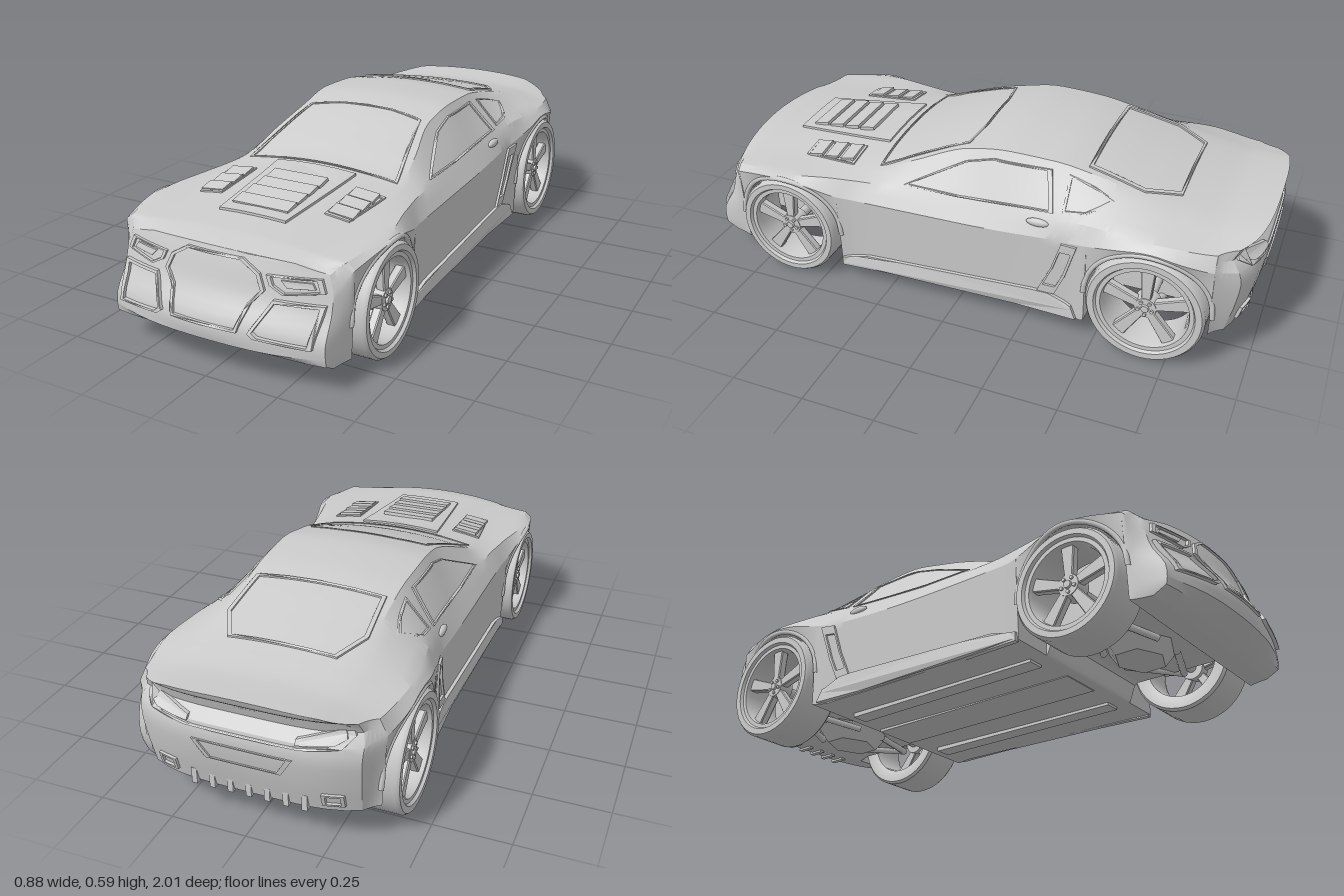
import * as THREE from 'three';
import { toCreasedNormals } from 'three/addons/utils/BufferGeometryUtils.js';

const grey = new THREE.MeshStandardMaterial({ color: 0xcccccc });
const greyDouble = new THREE.MeshStandardMaterial({ color: 0xcccccc, side: THREE.DoubleSide });
const { lerp, clamp } = THREE.MathUtils;

// Smooth curve without overshoot through [key, value] pairs with falling keys
function curve(p) {
  const n = p.length - 1;
  const d = p.slice(1).map((q, i) => (q[1] - p[i][1]) / (q[0] - p[i][0]));
  const m = p.map((_, i) => {
    if (i === 0 || i === n) return d[i && n - 1];
    return d[i - 1] * d[i] <= 0 ? 0 : 2 * d[i - 1] * d[i] / (d[i - 1] + d[i]);
  });
  return (key) => {
    const k = clamp(key, p[n][0], p[0][0]);
    let i = 0;
    while (i < n - 1 && k < p[i + 1][0]) i++;
    const h = p[i + 1][0] - p[i][0], t = (k - p[i][0]) / h, t2 = t * t, t3 = t2 * t;
    return lerp(p[i][1], p[i + 1][1], 3 * t2 - 2 * t3) + h * ((t3 - 2 * t2 + t) * m[i] + (t3 - t2) * m[i + 1]);
  };
}

// Body lines along z: centre top, roof or hood edge, belt, widest line, lower side, floor
const topLine = curve([[1, .385], [.87, .4], [.6, .425], [.36, .45], [.31, .457], [.2, .5], [0, .567], [-.15, .59], [-.3, .585], [-.45, .56], [-.6, .525], [-.75, .49], [-.87, .473], [-1, .48]]);
const edgeDrop = curve([[1, .012], [.87, .014], [.6, .022], [.36, .03], [.2, .026], [0, .019], [-.3, .018], [-1, .012]]);
const edgeX = curve([[1, .25], [.87, .265], [.6, .28], [.36, .3], [.2, .285], [0, .25], [-.15, .255], [-.4, .25], [-.75, .25], [-1, .24]]);
const beltX = curve([[1, .35], [.87, .375], [.63, .41], [.45, .38], [.3, .36], [0, .355], [-.2, .36], [-.4, .375], [-.55, .395], [-.67, .405], [-.85, .38], [-1, .335]]);
const beltY = curve([[1, .35], [.87, .375], [.63, .395], [.45, .4], [.3, .4], [0, .405], [-.3, .42], [-.5, .44], [-.67, .44], [-.85, .43], [-1, .44]]);
const wideX = curve([[1, .367], [.87, .4], [.63, .434], [.45, .41], [.38, .4], [0, .396], [-.35, .396], [-.45, .41], [-.6, .43], [-.72, .43], [-.87, .4], [-1, .355]]);
const wideY = curve([[1, .3], [.87, .35], [.63, .386], [.4, .34], [0, .345], [-.4, .37], [-.67, .416], [-.87, .38], [-1, .37]]);
const lowX = curve([[1, .376], [.87, .387], [.63, .43], [.45, .4], [.38, .386], [-.4, .386], [-.45, .4], [-.67, .428], [-.87, .385], [-1, .34]]);
const floorY = curve([[1, .075], [.826, .075], [.79, .13], [.47, .13], [.435, .065], [-.46, .072], [-.5, .14], [-.83, .14], [-.87, .13], [-1, .13]]);
// Fore-and-aft shape of the nose and tail by height
const noseBack = curve([[.385, .085], [.34, .07], [.27, .05], [.17, 0], [.13, 0], [.075, .11]]);
const tailBack = curve([[.48, 0], [.455, .012], [.42, .05], [.37, .012], [.33, .004], [.25, .015], [.13, .045]]);
const wheels = [{ name: 'front', z: .63, r: .183, arch: .193 }, { name: 'rear', z: -.67, r: .195, arch: .203 }];

function sillY(z) {
  const w = wheels.find((w) => Math.abs(z - w.z) <= w.arch + 1e-6);
  return w ? w.r + Math.sqrt(Math.max(0, w.arch ** 2 - (z - w.z) ** 2)) : floorY(z);
}

function bend(x, y, z) {
  const q = (x / .37) ** 2;
  if (z > .83) z -= (z - .83) / .17 * Math.min(.16, noseBack(y + .025 * q) + .06 * q);
  if (z < -.87) z += (-.87 - z) / .13 * Math.min(.12, tailBack(y) + .06 * q * q);
  return [x, y, z];
}

// Half cross-section from top centre round to the floor centre
function section(z) {
  const yt = topLine(z), drop = edgeDrop(z), xe = edgeX(z), low = sillY(z), pts = [];
  for (let i = 0; i < 5; i++) pts.push([xe * i / 5, yt - drop * (i / 5) ** 2]);
  const key = [[xe, yt - drop], [beltX(z), beltY(z)], [wideX(z), wideY(z)], [lowX(z), low], [.25, low], [.25, floorY(z)], [0, floorY(z)]];
  [4, 2, 10, 1, 1, 3].forEach((n, k) => {
    for (let i = 0; i < n; i++) pts.push([0, 1].map((c) => lerp(key[k][c], key[k + 1][c], i / n)));
  });
  return [...pts, key[6]];
}

function bodyGeometry() {
  const zs = [], pos = [];
  for (let i = 0; i <= 80; i++) zs.push(1 - i * .025);
  for (const w of wheels) {
    for (let i = 0; i <= 24; i++) zs.push(w.z + w.arch * Math.cos(i * Math.PI / 24));
    zs.push(w.z + w.arch + .001, w.z - w.arch - .001);
  }
  zs.sort((a, b) => b - a);
  const quad = (a, b, c, d) => pos.push(...a, ...b, ...c, ...b, ...d, ...c);
  const rings = zs.map((z) => {
    const half = section(z), left = half.slice(1, -1).reverse().map(([x, y]) => [-x, y]);
    return [...half, ...left].map(([x, y]) => bend(x, y, z));
  });
  for (let j = 0; j < rings.length - 1; j++) {
    const A = rings[j], B = rings[j + 1];
    A.forEach((a, i) => { const k = (i + 1) % A.length; quad(a, A[k], B[i], B[k]); });
  }
  // Bowed nose and tail faces
  for (const z of [1, -1]) {
    const s = section(z), K = 14;
    const at = (i, u) => bend(s[i][0] * (1 - 2 * u / K) * z, s[i][1], z);
    for (let i = 0; i < s.length - 1; i++)
      for (let u = 0; u < K; u++) quad(at(i, u), at(i, u + 1), at(i + 1, u), at(i + 1, u + 1));
  }
  const g = new THREE.BufferGeometry();
  g.setAttribute('position', new THREE.Float32BufferAttribute(pos, 3));
  return toCreasedNormals(g, .45);
}

// Projections that lay a flat outline (u, v) on the body, lifted by w
function sideX(z, y) {
  const line = [[edgeX(z), topLine(z) - edgeDrop(z)], [beltX(z), beltY(z)], [wideX(z), wideY(z)], [lowX(z), sillY(z)]];
  const i = line.findIndex((p, k) => k > 0 && y >= p[1]);
  if (i < 0) return line[3][0];
  return lerp(line[i][0], line[i - 1][0], clamp((y - line[i][1]) / (line[i - 1][1] - line[i][1]), 0, 1));
}
function topY(x, z) {
  const e = edgeX(z), drop = edgeDrop(z), a = Math.abs(x);
  return a <= e ? topLine(z) - drop * (a / e) ** 2 : lerp(topLine(z) - drop, beltY(z), clamp((a - e) / (beltX(z) - e), 0, 1));
}
const onFront = (u, v, w) => [u, v, bend(u, v, 1)[2] + w];
const onRear = (u, v, w) => [u, v, bend(u, v, -1)[2] - w];
const onTop = (u, v, w) => [u, topY(u, v) + w, v];
const onSide = (s) => (u, v, w) => [s * (sideX(u, v) + w), v, u];
const mirrorOutline = (pts) => pts.map(([u, v]) => [-u, v]);
const symmetric = (pts) => [...pts, ...mirrorOutline(pts).reverse()];

// Raised panel, or a frame when inset is given, that follows the body
function trim(parent, name, outline, project, depth = .008, inset = 0) {
  const pts = outline.flatMap(([u, v], i) => {
    const [p, q] = outline[(i + 1) % outline.length];
    return [0, .25, .5, .75].map((t) => new THREE.Vector2(lerp(u, p, t), lerp(v, q, t)));
  });
  const shape = new THREE.Shape(pts), c = new THREE.Vector2();
  pts.forEach((p) => c.addScaledVector(p, 1 / pts.length));
  if (inset) shape.holes.push(new THREE.Path(pts.map((p) => p.clone().lerp(c, 1 - inset))));
  const g = new THREE.ExtrudeGeometry(shape, { depth: depth + .006, bevelEnabled: false }), a = g.attributes.position;
  for (let i = 0; i < a.count; i++) a.setXYZ(i, ...project(a.getX(i), a.getY(i), a.getZ(i) - .006));
  g.computeVertexNormals();
  add(parent, name, g, [0, 0, 0], greyDouble);
}

function add(parent, name, geometry, at = [0, 0, 0], material = grey) {
  const m = new THREE.Mesh(geometry, material);
  m.name = name;
  m.position.set(...at);
  parent.add(m);
  return m;
}
const tube = (pts, r, n) => new THREE.TubeGeometry(new THREE.CatmullRomCurve3(pts), n, r, 8);

// Wheel facing +z: tyre with rim, five tapered spokes, hub and bolts
function makeWheel(R) {
  const g = new THREE.Group(), i = R * .82, disc = (a, b, h) => new THREE.CylinderGeometry(a, b, h, 20).rotateX(Math.PI / 2);
  const profile = [[i, -.078], [R - .008, -.08], [R, -.07], [R, .068], [R - .008, .08], [i + .006, .08], [i, .07], [i - .014, .07], [i - .02, .05], [i - .02, -.07], [i, -.078]];
  const tyre = new THREE.LatheGeometry(profile.map((p) => new THREE.Vector2(...p)), 48).rotateX(Math.PI / 2);
  add(g, 'tyre', toCreasedNormals(tyre, .6), [0, 0, 0], greyDouble);
  const spoke = new THREE.Shape([[.03, -.012], [i - .015, -.021], [i - .015, .021], [.03, .012]].map((p) => new THREE.Vector2(...p)));
  const spokeGeo = new THREE.ExtrudeGeometry(spoke, { depth: .022, bevelSize: .003, bevelThickness: .004, bevelSegments: 1 });
  for (let k = 0; k < 5; k++) {
    const a = Math.PI / 2 + k * Math.PI * .4;
    add(g, 'spoke', spokeGeo, [0, 0, .03]).rotation.z = a;
    add(g, 'bolt', disc(.006, .006, .012), [.024 * Math.cos(a + .63), .024 * Math.sin(a + .63), .058]);
  }
  add(g, 'hub', disc(.036, .042, .05), [0, 0, .033]);
  add(g, 'hubCap', disc(.012, .014, .012), [0, 0, .06]);
  return g;
}

export function createModel() {
  const car = new THREE.Group();
  car.name = 'sportsCar';
  add(car, 'body', bodyGeometry());
  // Glass outlines, hood, nose and tail
  trim(car, 'windshield', symmetric([[.15, .325], [.285, .32], [.22, .01], [.1, -.01]]), onTop, .003, .96);
  trim(car, 'rearWindow', symmetric([[.225, -.41], [.238, -.6], [.18, -.71]]), onTop, .006, .94);
  trim(car, 'hoodBulge', symmetric([[.15, .35], [.12, .73]]), onTop, .008);
  trim(car, 'grilleFrame', symmetric([[.098, .37], [.155, .336], [.175, .29], [.14, .25], [.115, .172]]), onFront, .008, .93);
  trim(car, 'tailRecess', symmetric([[.16, .315], [.12, .25]]), onRear, .005, .88);
  trim(car, 'tailBand', symmetric([[.31, .435], [.33, .4], [.3, .37], [.18, .355]]), onRear, .006, .87);
  for (let k = 0; k < 4; k++) {
    const z = .47 + k * .063;
    add(car, 'hoodLouver', new THREE.BoxGeometry(.2, .012, .056), [0, topY(0, z) + .009, z]).rotation.x = .2;
  }
  for (const s of [1, -1]) {
    const put = (name, pts, project, depth, inset) => trim(car, name, s > 0 ? pts : mirrorOutline(pts), project, depth, inset);
    put('headlight', [[.35, .3], [.335, .338], [.175, .336], [.188, .308], [.23, .285]], onFront, .009, .84);
    put('headlightLens', [[.32, .308], [.31, .325], [.22, .325], [.24, .305]], onFront, .006);
    put('lowerIntake', [[.355, .266], [.205, .27], [.152, .178], [.17, .165], [.34, .152]], onFront, .012, .86);
    put('tailLight', [[.3, .42], [.31, .395], [.28, .38], [.17, .37], [.17, .385]], onRear, .01);
    put('exhaust', [[.3, .2], [.3, .155], [.235, .155], [.235, .2]], onRear, .01, .68);
    put('hoodVent', [[.295, .42], [.19, .42], [.19, .62], [.275, .62]], onTop, .005, .9);
    for (let k = 0; k < 3; k++) {
      const z = .455 + k * .063;
      add(car, 'sideLouver', new THREE.BoxGeometry(.085, .01, .052), [s * .237, topY(.237, z) + .005, z]).rotation.set(.2, 0, -s * .12);
    }
    // Flanks
    const side = onSide(s);
    trim(car, 'doorWindow', [[.2, .415], [.1, .465], [0, .515], [-.1, .543], [-.3, .546], [-.335, .44], [0, .416]], side, .006, .94);
    trim(car, 'quarterWindow', [[-.36, .54], [-.45, .52], [-.52, .497], [-.44, .458], [-.365, .447]], side, .005, .86);
    trim(car, 'sideIntake', [[-.3, .15], [-.36, .15], [-.395, .23], [-.435, .365], [-.38, .36], [-.345, .25]], side, .008, .7);
    trim(car, 'sideSkirt', [[.43, .06], [.43, .09], [.33, .115], [-.28, .15], [-.34, .15], [-.42, .12], [-.44, .075]], side, .012);
    add(car, 'doorHandle', new THREE.SphereGeometry(1, 16, 10), [s * sideX(-.29, .403), .403, -.29]).scale.set(.012, .014, .04);
    // Arch lips, wheels and suspension
    for (const w of wheels) {
      const path = Array.from({ length: 21 }, (_, k) => {
        const a = k * Math.PI / 20, z = w.z + (w.arch + .006) * Math.cos(a), y = w.r + (w.arch + .006) * Math.sin(a);
        return new THREE.Vector3(s * (sideX(z, y) - .003), y, z);
      });
      add(car, w.name + 'ArchLip', tube(path, .009, 40));
      const wheel = makeWheel(w.r);
      wheel.name = w.name + 'Wheel';
      wheel.position.set(s * .352, w.r, w.z);
      wheel.rotation.y = s * Math.PI / 2;
      car.add(wheel);
      for (const d of [-.1, .1])
        add(car, w.name + 'SuspensionArm', tube([new THREE.Vector3(s * .3, .14, w.z), new THREE.Vector3(s * .06, .11, w.z + d)], .012, 1));
    }
    add(car, 'floorRail', new THREE.BoxGeometry(.06, .025, .78), [s * .23, .068, -.01]);
  }
  // Underside: axles, floor, casings and diffuser fins
  for (const w of wheels) {
    add(car, w.name + 'Axle', new THREE.CylinderGeometry(.018, .018, .72, 16).rotateZ(Math.PI / 2), [0, w.r, w.z]);
    add(car, w.name + 'Casing', new THREE.CylinderGeometry(.12, .08, .06, 6), [0, .11, w.z]).scale.x = 1.3;
  }
  add(car, 'centreFloor', new THREE.BoxGeometry(.16, .02, .84), [0, .072, -.02]);
  for (let k = 0; k < 7; k++) add(car, 'diffuserFin', new THREE.BoxGeometry(.018, .055, .06), [-.18 + k * .06, .15, -.935]);
  return car;
}
